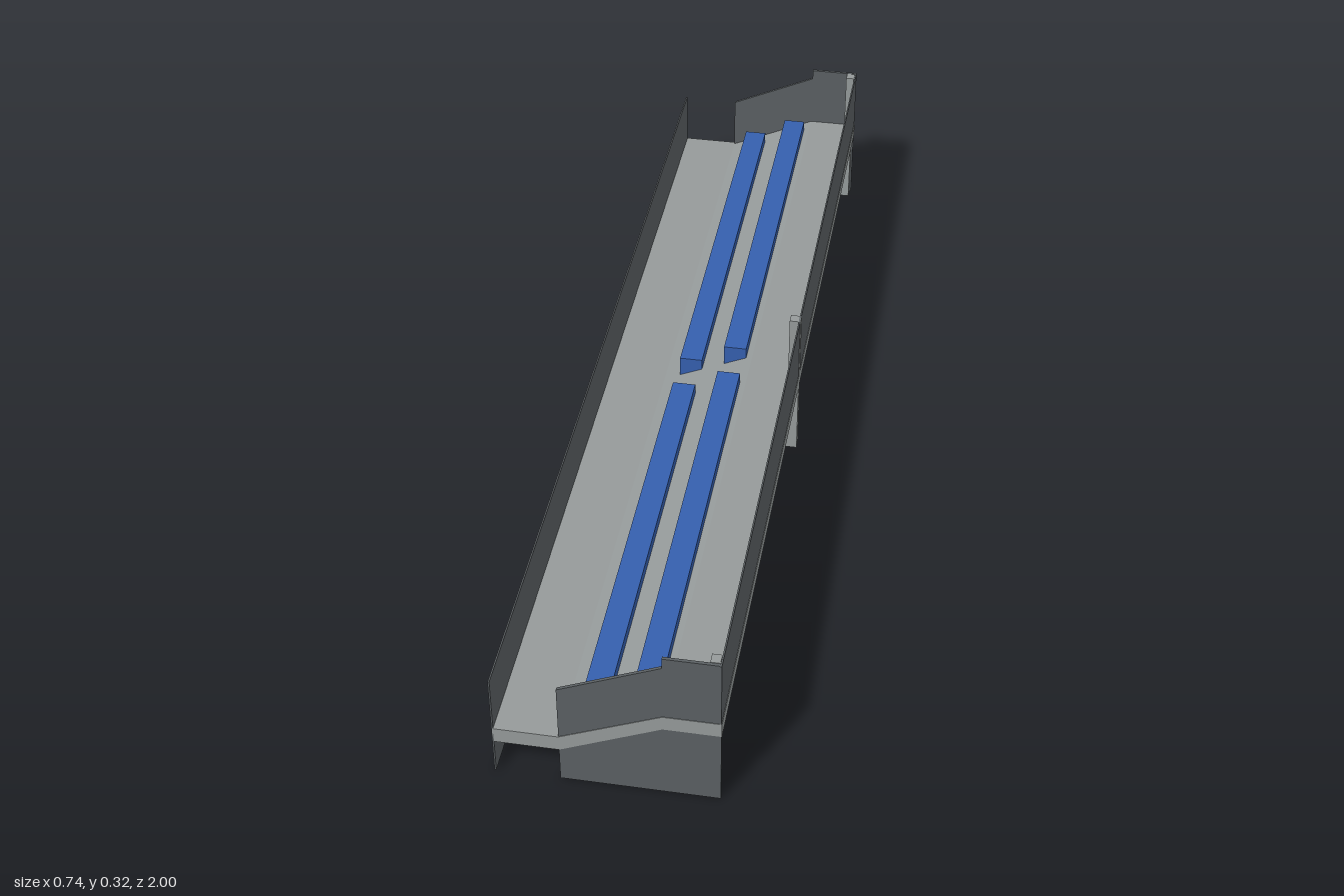
import * as THREE from 'three';

const HALF_L = 0.98; // half length
const HALF_W = 0.203; // half width

export function createModel() {
  const panelGrey = new THREE.MeshStandardMaterial({ color: 0x5a5f62 });
  panelGrey.name = 'panelGrey';
  const deckGrey = new THREE.MeshStandardMaterial({ color: 0x959a9a });
  deckGrey.name = 'deckGrey';
  const benchBlue = new THREE.MeshStandardMaterial({ color: 0x355fae });
  benchBlue.name = 'benchBlue';

  const model = new THREE.Group();
  model.name = 'terrace';
  const body = new THREE.Group();
  body.name = 'terraceBody';
  body.rotation.y = THREE.MathUtils.degToRad(10);
  model.add(body);

  const add = (name, geometry, material) => {
    const mesh = new THREE.Mesh(geometry, material);
    mesh.name = name;
    body.add(mesh);
    return mesh;
  };

  // Box given by its limits on each axis
  const box = (name, x0, x1, y0, y1, z0, z1, material) => {
    const mesh = add(name, new THREE.BoxGeometry(x1 - x0, y1 - y0, z1 - z0), material);
    mesh.position.set((x0 + x1) / 2, (y0 + y1) / 2, (z0 + z1) / 2);
  };

  // Cross-section carried along the length from z0 to z1
  const prism = (name, points, z0, z1, material) => {
    const shape = new THREE.Shape(points.map(([x, y]) => new THREE.Vector2(x, y)));
    const geometry = new THREE.ExtrudeGeometry(shape, { depth: z1 - z0, bevelEnabled: false });
    geometry.translate(0, 0, z0);
    add(name, geometry, material);
  };

  // Deck: low walkway, ramp, high walkway
  prism('deck', [
    [-HALF_W + 0.001, 0.073], [-0.084, 0.073], [0.1, 0.157], [HALF_W, 0.157],
    [HALF_W, 0.187], [0.1, 0.187], [-0.084, 0.105], [-HALF_W + 0.001, 0.105],
  ], -HALF_L, HALF_L, deckGrey);

  // Long walls
  box('frontWall', -HALF_W, -HALF_W + 0.003, 0, 0.22, -HALF_L, HALF_L, panelGrey);
  box('rearWall', HALF_W - 0.004, HALF_W - 0.001, 0.187, 0.325, -HALF_L, HALF_L, panelGrey);

  // Stepped end walls, just inside the deck ends
  const endProfile = [
    [-0.084, 0], [HALF_W - 0.001, 0], [HALF_W - 0.001, 0.325],
    [0.1, 0.325], [0.1, 0.303], [-0.084, 0.22],
  ];
  for (const side of [-1, 1]) {
    const z = side * (HALF_L - 0.004);
    prism('endWall', endProfile, z - 0.003, z + 0.003, panelGrey);
  }

  // Posts under and behind the high walkway
  for (const z of [-HALF_L + 0.018, 0, HALF_L - 0.018]) {
    const outer = z === 0 ? HALF_W : HALF_W - 0.0045;
    box('post', 0.181, outer, 0, 0.325, z - 0.01, z + 0.01, deckGrey);
  }

  // Two rows of benches, split by the middle aisle
  for (const [x, top] of [[-0.028, 0.163], [0.064, 0.204]]) {
    for (const [z0, z1] of [[-0.94, -0.041], [0.041, 0.94]]) {
      box('bench', x - 0.023, x + 0.023, top - 0.045, top, z0, z1, benchBlue);
    }
  }
  return model;
}
